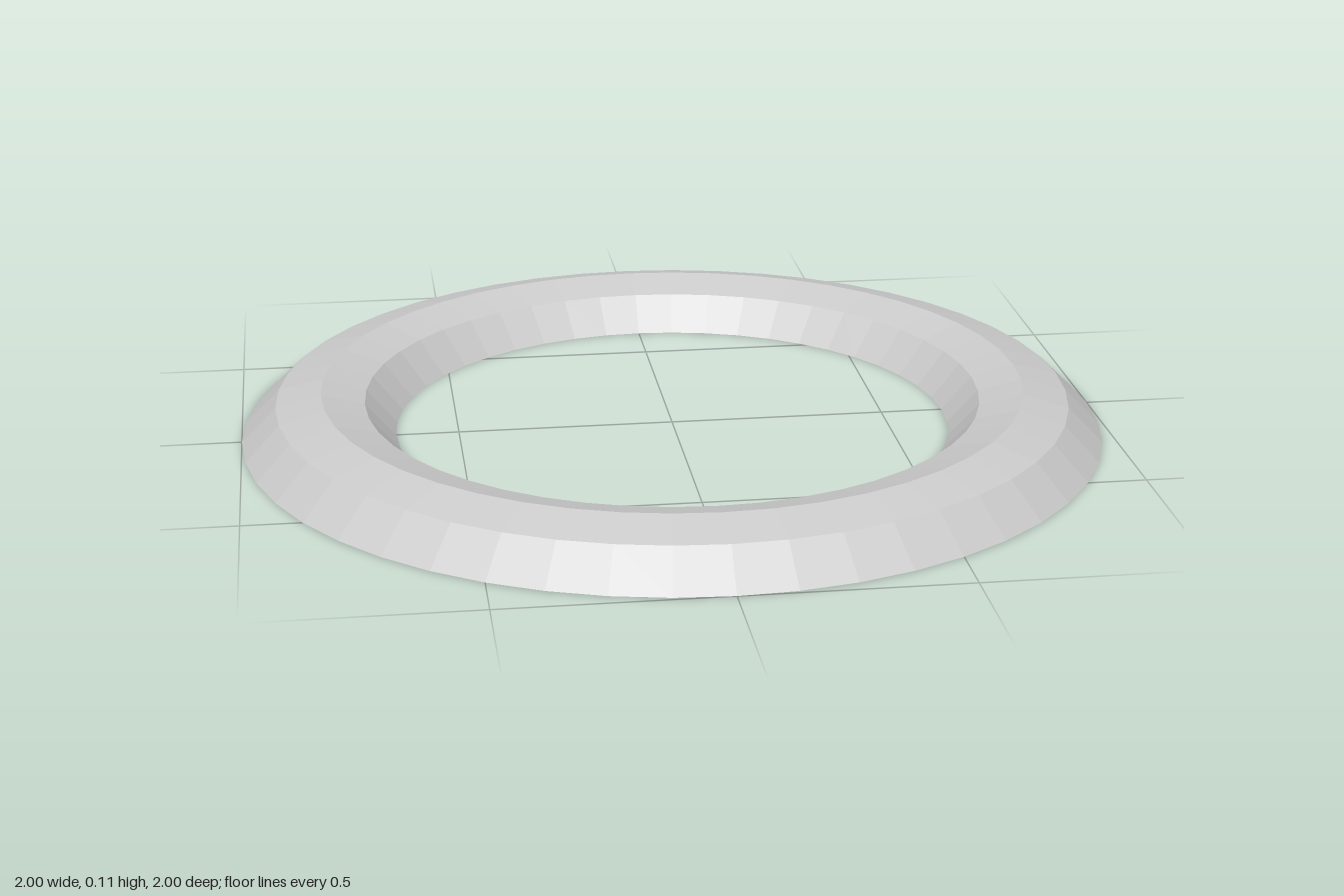
import * as THREE from 'three';

export function createModel() {
  const group = new THREE.Group();
  group.name = 'ring';

  // Bevelled shell, open underneath: outer rim, over the crest, to the inner rim
  const profile = [
    [1, 0],
    [0.92, 0.08],
    [0.815, 0.107],
    [0.715, 0.08],
    [0.645, 0],
  ].map(([r, y]) => new THREE.Vector2(r, y));

  const shell = new THREE.Mesh(
    new THREE.LatheGeometry(profile, 48),
    new THREE.MeshStandardMaterial({
      color: 0xcccccc,
      flatShading: true,
      side: THREE.DoubleSide,
    }),
  );
  shell.name = 'bevelledRingShell';
  group.add(shell);

  return group;
}
